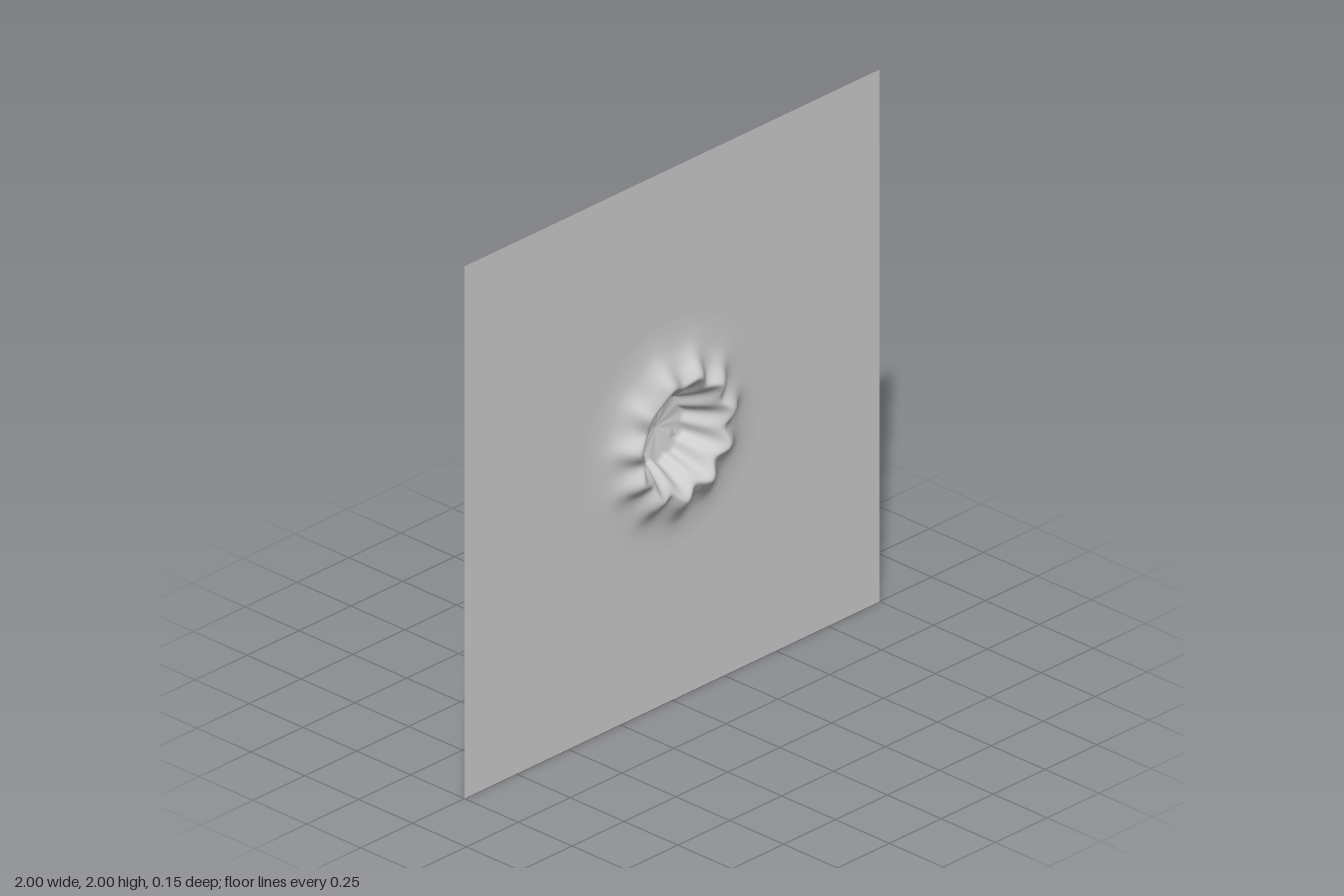
import * as THREE from 'three';

const RAYS = 176;
const LOBES = 11;

// Radius and depth of the crater, from floor edge over the rim to the flat sheet
const profile = new THREE.CatmullRomCurve3([
  [0.115, -0.077], [0.15, -0.005], [0.18, 0.042], [0.208, 0.066],
  [0.235, 0.056], [0.275, 0.03], [0.32, 0.011], [0.37, 0.003], [0.43, 0],
].map(([r, z]) => new THREE.Vector3(r, z, 0)));

// Sheet with a fluted crater pressed into its middle
function crateredSheet() {
  const rings = [[0, -0.077], ...profile.getPoints(36).map((p) => [p.x, p.y]), [1, 0]];
  const last = rings.length - 1;
  const positions = [];
  const index = [];
  rings.forEach(([r, z], i) => {
    for (let j = 0; j < RAYS; j++) {
      const a = (j / RAYS) * Math.PI * 2;
      const c = Math.cos(a), s = Math.sin(a);
      const wave = Math.cos(LOBES * (a + Math.PI / 2));
      // flutes are strongest on the rim and fade into the sheet
      const fade = 1 - THREE.MathUtils.smoothstep(r, 0.2, 0.42);
      const rim = Math.exp(-(((r - 0.22) / 0.045) ** 2));
      const radius = i === last
        ? 1 / Math.max(Math.abs(c), Math.abs(s))
        : r * (1 + 0.06 * wave * fade);
      positions.push(radius * c, 1 + radius * s, z + 0.01 * wave * rim);
      if (i === last) continue;
      const k = (j + 1) % RAYS;
      const p = i * RAYS + j, q = i * RAYS + k;
      if (i > 0) index.push(p, p + RAYS, q);
      index.push(q, p + RAYS, q + RAYS);
    }
  });
  const geometry = new THREE.BufferGeometry();
  geometry.setAttribute('position', new THREE.Float32BufferAttribute(positions, 3));
  geometry.setIndex(index);
  geometry.computeVertexNormals();
  // carry the flute shading across the floor to its centre
  const normal = geometry.attributes.normal;
  for (let j = 0; j < RAYS; j++) {
    normal.setXYZ(j, normal.getX(RAYS + j), normal.getY(RAYS + j), normal.getZ(RAYS + j));
  }
  return geometry;
}

export function createModel() {
  const group = new THREE.Group();
  const material = new THREE.MeshStandardMaterial({ color: 0xcccccc, side: THREE.DoubleSide });

  const sheet = new THREE.Mesh(crateredSheet(), material);
  sheet.name = 'crateredSheet';

  // Small loose triangle floating over the crater floor
  const chip = new THREE.Mesh(new THREE.CircleGeometry(0.022, 3, Math.PI / 2), material);
  chip.name = 'centreChip';
  chip.position.y = 1.0;

  group.add(sheet, chip);
  return group;
}
